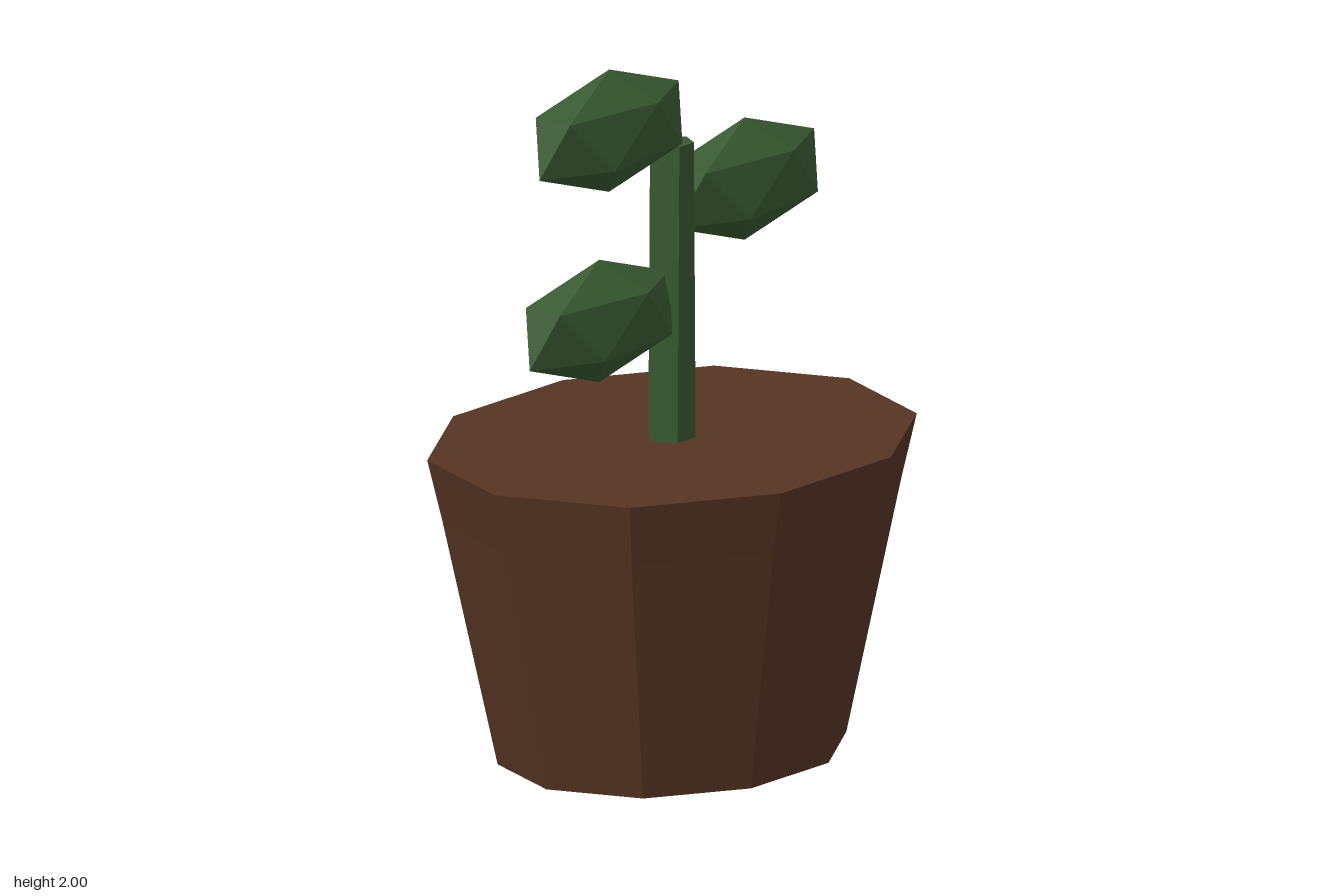
import * as THREE from 'three';
import { ConvexGeometry } from 'three/addons/geometries/ConvexGeometry.js';

const potBrown = new THREE.MeshStandardMaterial({ color: 0x563524 });
potBrown.name = 'earth brown';
const leafGreen = new THREE.MeshStandardMaterial({ color: 0x395a31 });
leafGreen.name = 'leaf green';

// Faceted elliptical column through rings of [y, x radius, z radius], bottom to top
function column(sides, rings) {
  const last = rings.length - 1;
  const geo = new THREE.CylinderGeometry(1, 1, 1, sides, last, false, Math.PI / 2);
  const pos = geo.attributes.position;
  for (let i = 0; i < pos.count; i++) {
    const [y, rx, rz] = rings[Math.round((pos.getY(i) + 0.5) * last)];
    pos.setXYZ(i, pos.getX(i) * rx, y, pos.getZ(i) * rz);
  }
  const flat = geo.toNonIndexed();
  flat.computeVertexNormals();
  return flat;
}

// Stretched 20-sided ball standing on a corner
function leafGeometry(rx, ry, rz) {
  const points = [new THREE.Vector3(0, ry, 0), new THREE.Vector3(0, -ry, 0)];
  const h = 1 / Math.sqrt(5);
  for (let i = 0; i < 10; i++) {
    const a = (i * Math.PI) / 5;
    const y = i % 2 ? -h : h;
    points.push(new THREE.Vector3(2 * h * Math.cos(a) * rx, y * ry, 2 * h * Math.sin(a) * rz));
  }
  return new ConvexGeometry(points);
}

export function createModel() {
  const model = new THREE.Group();
  model.name = 'pottedPlant';

  const add = (name, geometry, material) => {
    const mesh = new THREE.Mesh(geometry, material);
    mesh.name = name;
    model.add(mesh);
    return mesh;
  };

  // Ten-sided pot, flaring a little more near the rim
  add('pot', column(10, [[0, 0.535, 0.445], [0.71, 0.71, 0.578], [0.89, 0.755, 0.62]]), potBrown);

  // Tapered stem
  add('stem', column(6, [[0.87, 0.077, 0.061], [1.735, 0.062, 0.061]]), leafGreen);

  // Three leaves, alternating sides
  const leaf = leafGeometry(0.331, 0.175, 0.117);
  const places = { topLeaf: [-0.268, 1.825], middleLeaf: [0.309, 1.56], lowerLeaf: [-0.31, 1.29] };
  for (const [name, [x, y]] of Object.entries(places)) {
    add(name, leaf, leafGreen).position.set(x, y, 0);
  }

  return model;
}
